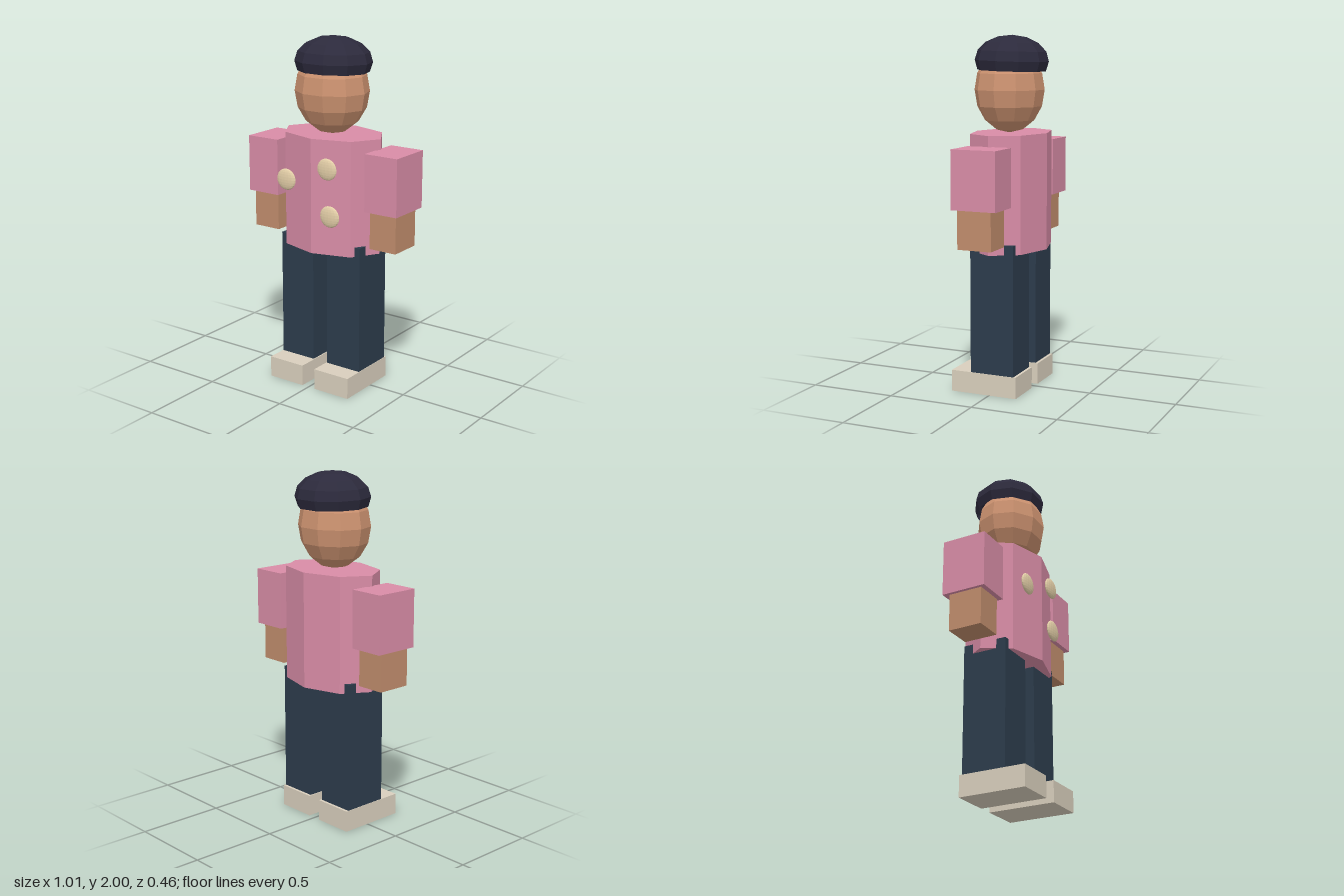
import * as THREE from 'three';

const mat = (color, side = THREE.FrontSide) =>
  new THREE.MeshStandardMaterial({ color, flatShading: true, side });

export function createModel() {
  const model = new THREE.Group();
  const pink = mat(0xd88ca6), skin = mat(0xc08c6c), face = mat(0xcc9270);
  const denim = mat(0x2c3c4c), shoeTan = mat(0xd8cebc), cream = mat(0xe4cfa8);
  const navy = mat(0x2c2a3c, THREE.DoubleSide);

  const add = (name, geometry, material, x, y, z) => {
    const mesh = new THREE.Mesh(geometry, material);
    mesh.name = name;
    mesh.position.set(x, y, z);
    model.add(mesh);
    return mesh;
  };
  // Box given by its centre x, width, and y and z ranges
  const box = (name, material, x, w, y0, y1, z0, z1) =>
    add(name, new THREE.BoxGeometry(w, y1 - y0, z1 - z0), material, x, (y0 + y1) / 2, (z0 + z1) / 2);

  // Eight-sided torso
  add('torso', new THREE.CylinderGeometry(1, 1, 0.655, 8), pink, 0, 1.1325, -0.018)
    .scale.set(0.316, 1, 0.215);

  // Head
  add('head', new THREE.SphereGeometry(1, 10, 8), face, 0, 1.697, -0.005)
    .scale.set(0.215, 0.24, 0.195);

  // Cap: the upper five rings of a sphere, tipped slightly back
  const cap = add('cap', new THREE.SphereGeometry(1, 10, 5, 0, Math.PI * 2, 0, Math.PI * 0.625),
    navy, 0, 1.858, -0.018);
  cap.scale.set(0.222, 0.142, 0.206);
  cap.rotation.x = -0.03;

  // Arms and legs, mirrored
  for (const [side, s] of [['left', 1], ['right', -1]]) {
    box(side + 'Sleeve', pink, s * 0.402, 0.206, 1.075, 1.4, -0.148, 0.113);
    box(side + 'Forearm', skin, s * 0.402, 0.168, 0.86, 1.12, -0.113, 0.085);
    box(side + 'Leg', denim, s * 0.16, 0.222, 0.1, 0.86, -0.147, 0.113);
    box(side + 'Shoe', shoeTan, s * 0.158, 0.231, 0, 0.122, -0.163, 0.231);
  }

  // Flat round spots on the chest
  for (const [x, y] of [[-0.17, 1.207], [0.109, 1.303], [0.127, 1.038]]) {
    add('spot', new THREE.SphereGeometry(1, 16, 12), cream, x, y, 0.197).scale.set(0.064, 0.061, 0.017);
  }
  return model;
}
